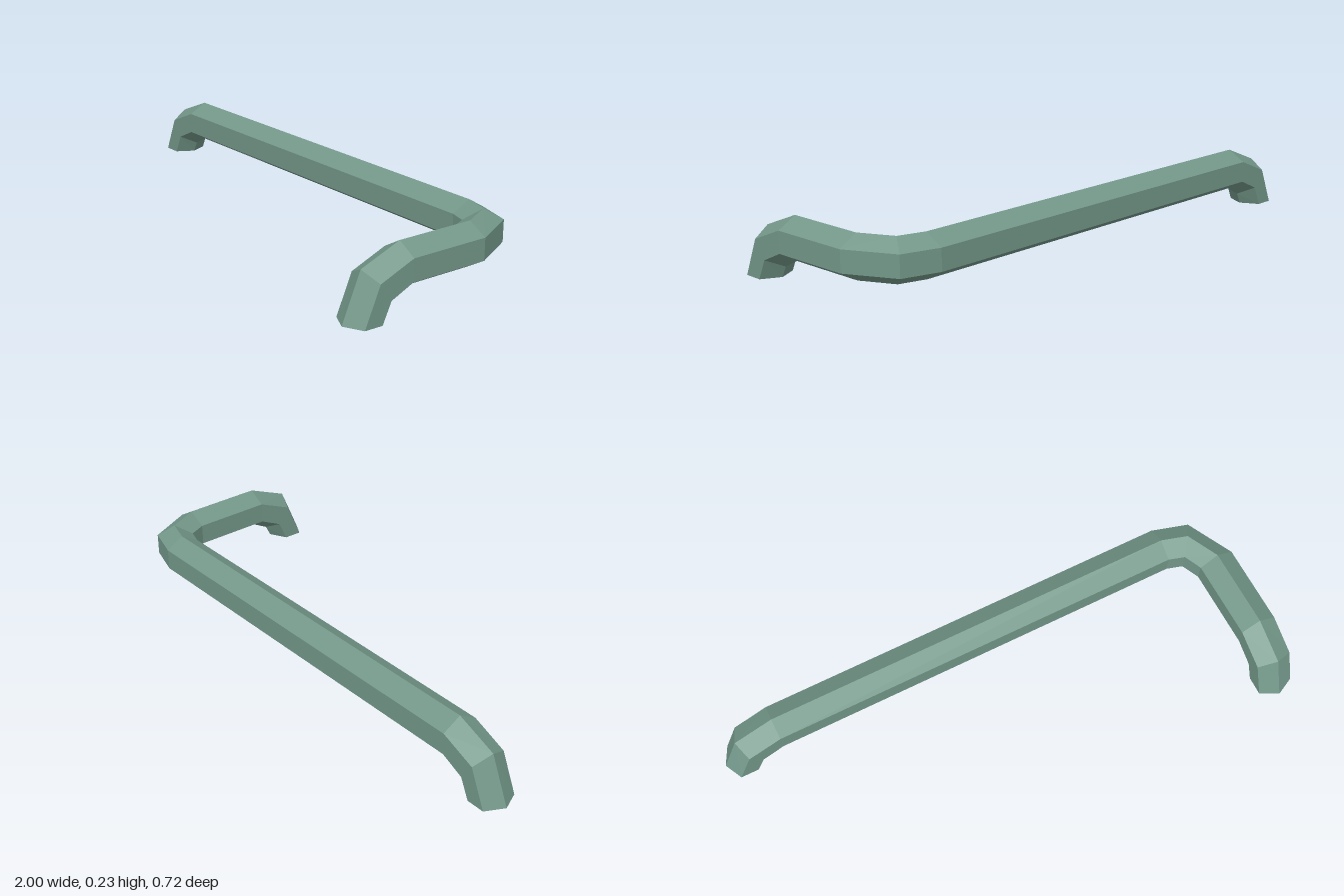
import * as THREE from 'three';

const R = 0.0765; // hexagon radius
const W = 0.0665; // hexagon half width

// Cross-section: centre, up axis (to the ridge) and side axis (to the outer flat)
const ring = (c, up, side) => {
  const C = new THREE.Vector3(...c), U = new THREE.Vector3(...up), S = new THREE.Vector3(...side);
  return Array.from({ length: 6 }, (_, i) => {
    const a = (i * Math.PI) / 3;
    return C.clone().addScaledVector(U, Math.cos(a)).addScaledVector(S, Math.sin(a) / Math.sin(Math.PI / 3));
  });
};

// Skin a run of rings with flat faces, closing the chosen ends
function pipe(name, rings, material, capStart, capEnd) {
  const pts = [];
  const tri = (a, b, c) => pts.push(a, b, c);
  for (let r = 0; r < rings.length - 1; r++) {
    for (let i = 0; i < 6; i++) {
      const j = (i + 1) % 6, A = rings[r], B = rings[r + 1];
      tri(A[i], B[i], B[j]);
      tri(A[i], B[j], A[j]);
    }
  }
  for (let i = 1; i < 5; i++) {
    const A = rings[0], B = rings[rings.length - 1];
    if (capStart) tri(A[0], A[i], A[i + 1]);
    if (capEnd) tri(B[0], B[i + 1], B[i]);
  }
  const geometry = new THREE.BufferGeometry().setFromPoints(pts);
  geometry.computeVertexNormals();
  const mesh = new THREE.Mesh(geometry, material);
  mesh.name = name;
  return mesh;
}

export function createModel() {
  const group = new THREE.Group();
  group.name = 'bentPipe';
  const green = new THREE.MeshStandardMaterial({ color: 0x739789 });
  green.name = 'grey green';

  // Foot bend, from the ground up: [outward position, height, up axis outward, up axis y]
  const bend = [
    [0.295, 0, 0.068, 0],
    [0.251, 0.1025, 0.044, 0.0625],
    [0.145, 0.1487, 0, R],
  ];
  const y = 0.1487;

  // Left-hand foot turns down along -x, the other one along +z
  const farFoot = bend.map(([d, h, u, v]) => ring([-0.637 - d, h, -0.295], [-u, v, 0], [0, 0, -W]));
  const nearFoot = bend.map(([d, h, u, v]) => ring([0.933, h, d], [0, v, u], [W, 0, 0])).reverse();

  // Horizontal corner between the two bars
  const corner = [
    ring([0.77, y, -0.295], [0, R, 0], [0, 0, -W]),
    ring([0.866, y, -0.267], [0, R, 0], [0.0375, 0, -0.056]),
    ring([0.926, y, -0.15], [0, R, 0], [W, 0, -0.003]),
  ];

  group.add(
    pipe('farFoot', farFoot, green, true, false),
    pipe('longBar', [farFoot[2], corner[0]], green, false, false),
    pipe('cornerBend', corner, green, false, false),
    pipe('shortBar', [corner[2], nearFoot[0]], green, false, false),
    pipe('nearFoot', nearFoot, green, false, true),
  );
  return group;
}
